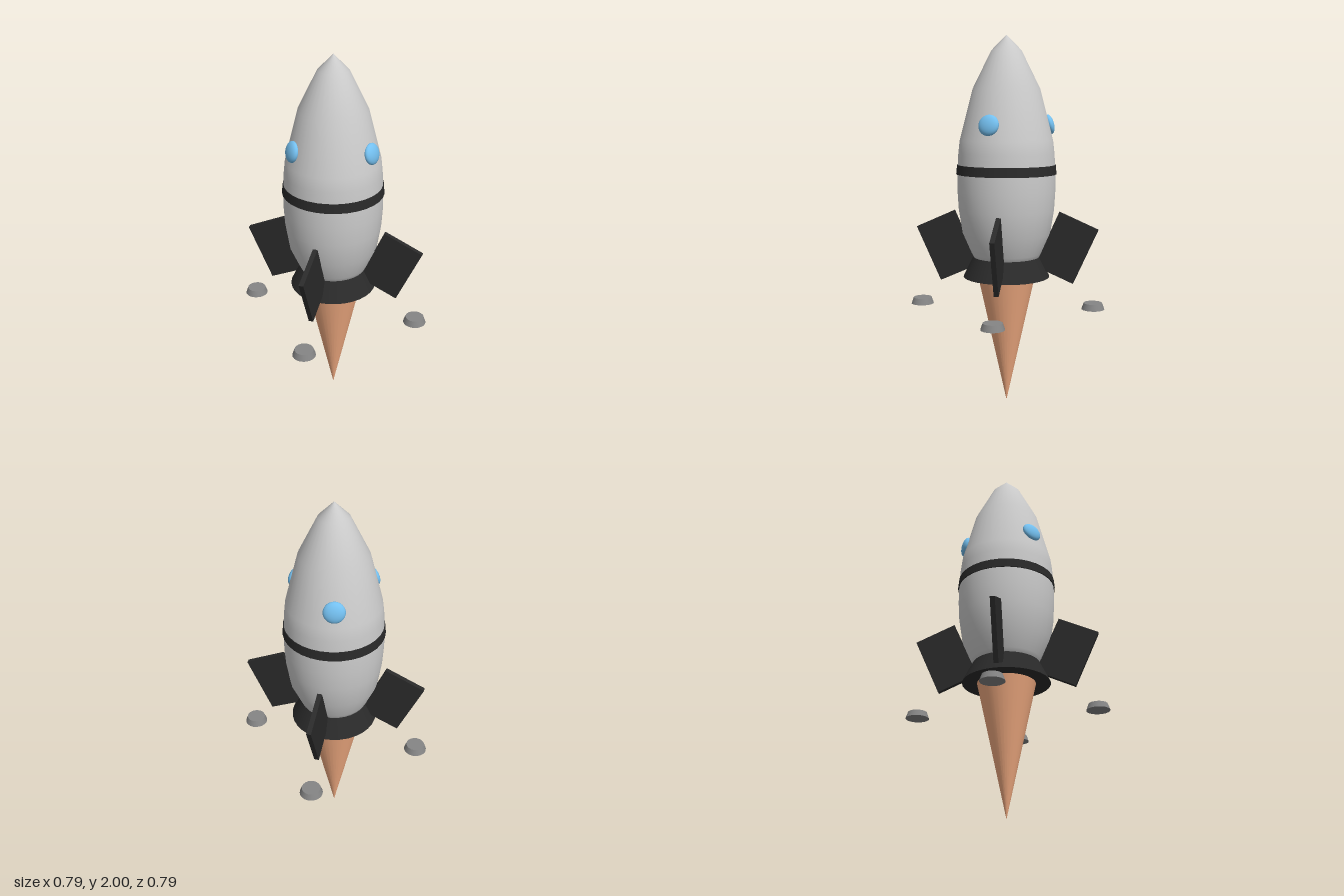
import * as THREE from 'three';

const mat = (color) => new THREE.MeshStandardMaterial({ color });

export function createModel() {
  const rocket = new THREE.Group();
  rocket.name = 'rocket';
  const grey = mat(0xcccccc), black = mat(0x2a2a2a), blue = mat(0x74c0f0);
  const orange = mat(0xf0aa80), footGrey = mat(0x858585);

  const add = (name, geometry, material, parent = rocket) => {
    const mesh = new THREE.Mesh(geometry, material);
    mesh.name = name;
    parent.add(mesh);
    return mesh;
  };

  // A pivot turned about the vertical axis, for parts placed around the hull
  const spoke = (name, angle) => {
    const pivot = new THREE.Group();
    pivot.name = name;
    pivot.rotation.y = angle;
    rocket.add(pivot);
    return pivot;
  };

  // Hull: turned profile from base to nose
  const profile = [
    [0, 0.8], [0.17, 0.8], [0.19, 0.84], [0.238, 0.95], [0.258, 1.08], [0.264, 1.18],
    [0.264, 1.28], [0.258, 1.38], [0.25, 1.45], [0.18, 1.72], [0.08, 1.92], [0, 2],
  ].map(([r, y]) => new THREE.Vector2(r, y));
  add('hull', new THREE.LatheGeometry(profile, 32), grey);

  // Band around the waist
  add('band', new THREE.CylinderGeometry(0.265, 0.27, 0.05, 32), black).position.y = 1.295;

  // Flared nozzle and exhaust flame
  add('nozzle', new THREE.CylinderGeometry(0.18, 0.235, 0.11, 32), black).position.y = 0.765;
  const flame = add('flame', new THREE.ConeGeometry(0.158, 0.72, 32), orange);
  flame.rotation.x = Math.PI;
  flame.position.y = 0.36;

  // Three domed portholes, tilted to follow the hull
  for (let i = 0; i < 3; i++) {
    const pivot = spoke('porthole', Math.PI + (i * Math.PI * 2) / 3);
    const glass = add('portholeGlass', new THREE.SphereGeometry(1, 24, 16), blue, pivot);
    glass.scale.set(0.026, 0.055, 0.056);
    glass.position.set(0.23, 1.533, 0);
    glass.rotation.z = THREE.MathUtils.degToRad(14.5);
  }

  // Four slanted fins, each with a landing pad below it
  for (let i = 0; i < 4; i++) {
    const pivot = spoke('finAndPad', Math.PI / 4 + (i * Math.PI) / 2);
    const fin = add('fin', new THREE.BoxGeometry(0.23, 0.325, 0.025), black, pivot);
    fin.position.set(0.326, 0.873, 0);
    fin.rotation.z = THREE.MathUtils.degToRad(-24);
    const pad = add('landingPad', new THREE.CylinderGeometry(0.05, 0.062, 0.034, 20), footGrey, pivot);
    pad.position.set(0.474, 0.557, 0);
  }

  return rocket;
}
